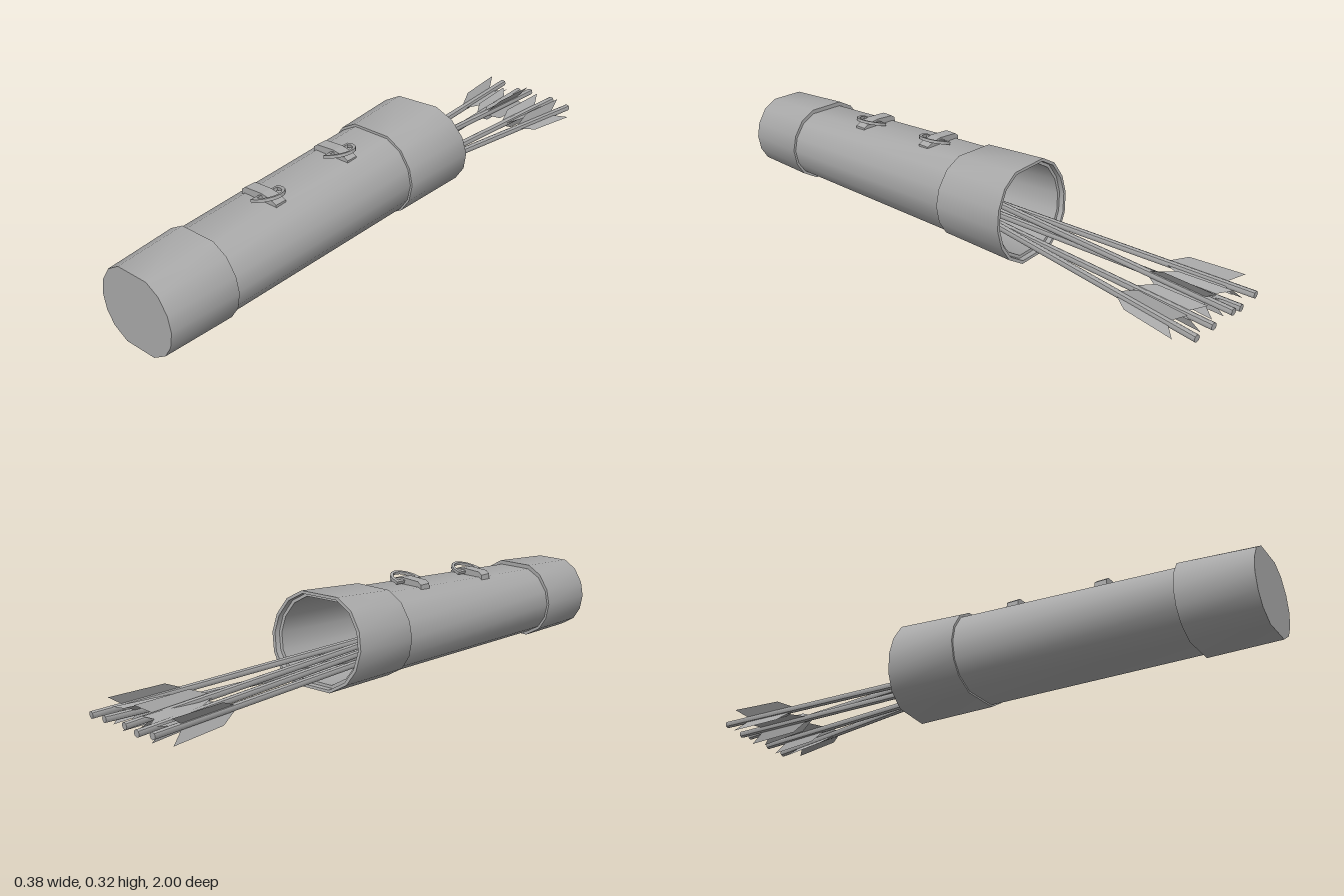
import * as THREE from 'three';
import { toCreasedNormals } from 'three/addons/utils/BufferGeometryUtils.js';

const grey = new THREE.MeshStandardMaterial({ color: 0xaaaaaa, side: THREE.DoubleSide });
grey.name = 'grey';

// Faceted round outline, counter-clockwise seen from the front, unit half-size
const right = [[0.4, -1], [0.75, -0.75], [0.93, -0.42], [1, 0], [0.93, 0.4], [0.72, 0.78], [0.4, 1]];
const outline = [...right, ...right.map(([x, y]) => [-x, y]).reverse()];

// One cross-section from its limits; k shrinks it, slant tilts the mouth
function ring(z, x0, x1, y0, y1, k = 1, slant = false) {
  const cx = (x0 + x1) / 2, cy = (y0 + y1) / 2;
  return outline.map(([u, v]) => {
    const x = cx + u * k * (x1 - x0) / 2, y = cy + v * k * (y1 - y0) / 2;
    return [x, y, slant ? z - 0.1 * x + 0.12 * (y - 0.17) : z];
  });
}

function loft(name, rings) {
  const n = outline.length, index = [];
  for (let i = 0; i < rings.length - 1; i++) {
    for (let j = 0; j < n; j++) {
      const a = i * n + j, b = i * n + (j + 1) % n;
      index.push(a, a + n, b + n, a, b + n, b);
    }
  }
  const geo = new THREE.BufferGeometry();
  geo.setAttribute('position', new THREE.Float32BufferAttribute(rings.flat(2), 3));
  geo.setIndex(index);
  return mesh(name, toCreasedNormals(geo, 0.75));
}

function mesh(name, geo) {
  const m = new THREE.Mesh(geo, grey);
  m.name = name;
  return m;
}

// Arrow seen from its nock; local +z runs down the shaft
function arrow(nock, inner, turn) {
  const g = new THREE.Group();
  g.name = 'arrow';
  const from = new THREE.Vector3(...nock), to = new THREE.Vector3(...inner);
  const len = from.distanceTo(to);
  const shaft = new THREE.CylinderGeometry(0.012, 0.012, len, 8);
  shaft.rotateX(Math.PI / 2).translate(0, 0, len / 2);
  g.add(mesh('shaft', toCreasedNormals(shaft, 0.9)));
  const vane = new THREE.Shape([[0.006, 0.3], [0.04, 0.235], [0.046, 0.05], [0.006, 0.1]]
    .map(p => new THREE.Vector2(...p)));
  for (let i = 0; i < 3; i++) {
    const geo = new THREE.ShapeGeometry(vane);
    geo.rotateX(Math.PI / 2).rotateZ(turn + i * Math.PI * 2 / 3);
    g.add(mesh('feather', geo));
  }
  g.position.copy(from);
  g.lookAt(to);
  return g;
}

// Strap stub with a tilted D-shaped ring
function buckle(y, z) {
  const g = new THREE.Group();
  g.name = 'buckle';
  const strap = new THREE.Shape([[-0.085, -0.012], [-0.083, 0.006], [-0.07, 0.016], [0, 0.02], [0.035, 0.014],
    [0.06, 0.002], [0.06, -0.012]].map(p => new THREE.Vector2(...p)));
  const strapGeo = new THREE.ExtrudeGeometry(strap, { depth: 0.042, bevelEnabled: false });
  strapGeo.translate(0, 0, -0.021);
  g.add(mesh('strap', strapGeo));

  const arc = (rx, rz, x) => Array.from({ length: 9 }, (_, i) => {
    const a = -Math.PI / 2 + i * Math.PI / 8;
    return new THREE.Vector2(x + rx * Math.cos(a), rz * Math.sin(a));
  });
  const d = new THREE.Shape(arc(0.072, 0.058, -0.008));
  d.holes.push(new THREE.Path(arc(0.05, 0.043, 0.004).reverse()));
  const ringGeo = new THREE.ExtrudeGeometry(d, { depth: 0.01, bevelEnabled: false });
  ringGeo.rotateX(-Math.PI / 2).rotateZ(0.27).translate(0, 0.004, 0);
  g.add(mesh('ring', ringGeo));
  g.position.set(0, y, z);
  return g;
}

export function createModel() {
  const model = new THREE.Group();
  model.name = 'quiver';

  // Case: closed base cuff, tapered tube, flared collar with a slanted mouth
  const base = [-0.155, 0.14, 0, 0.255];
  const bodyLow = [-0.162, 0.147, 0.014, 0.256], bodyHigh = [-0.176, 0.162, 0.022, 0.298];
  const mouth = [-0.192, 0.18, 0.018, 0.323];
  model.add(loft('baseCuff', [
    ring(1, ...base, 0), ring(1, ...base), ring(0.76, -0.17, 0.155, 0.003, 0.271),
    ring(0.76, ...bodyLow, 0.97),
  ]));
  model.add(loft('tube', [ring(0.77, ...bodyLow), ring(-0.01, ...bodyHigh)]));
  model.add(loft('collar', [
    ring(0, ...bodyHigh, 0.97), ring(0, -0.183, 0.169, 0.016, 0.306),
    ring(-0.262, ...mouth, 1, true), ring(-0.262, ...mouth, 0.94, true),
    ring(-0.245, ...mouth, 0.93, true), ring(-0.245, ...mouth, 0.87, true),
  ]));
  model.add(loft('lining', [
    ring(-0.245, ...mouth, 0.87, true), ring(0.95, ...base, 0.92), ring(0.95, ...base, 0),
  ]));

  model.add(buckle(0.275, 0.49), buckle(0.292, 0.17));

  // Arrows: nock, inner end, roll of the feathers
  [
    [[-0.155, 0.088, -0.99], [-0.04, 0.11, 0.7], 0],
    [[-0.08, 0.075, -0.99], [0.02, 0.12, 0.7], 0.6],
    [[-0.03, 0.085, -0.995], [-0.04, 0.17, 0.7], 1.1],
    [[0.07, 0.08, -0.995], [-0.07, 0.08, 0.7], 0.3],
    [[0.145, 0.072, -0.99], [-0.035, 0.15, 0.7], -0.23],
  ].forEach(a => model.add(arrow(...a)));
  return model;
}
